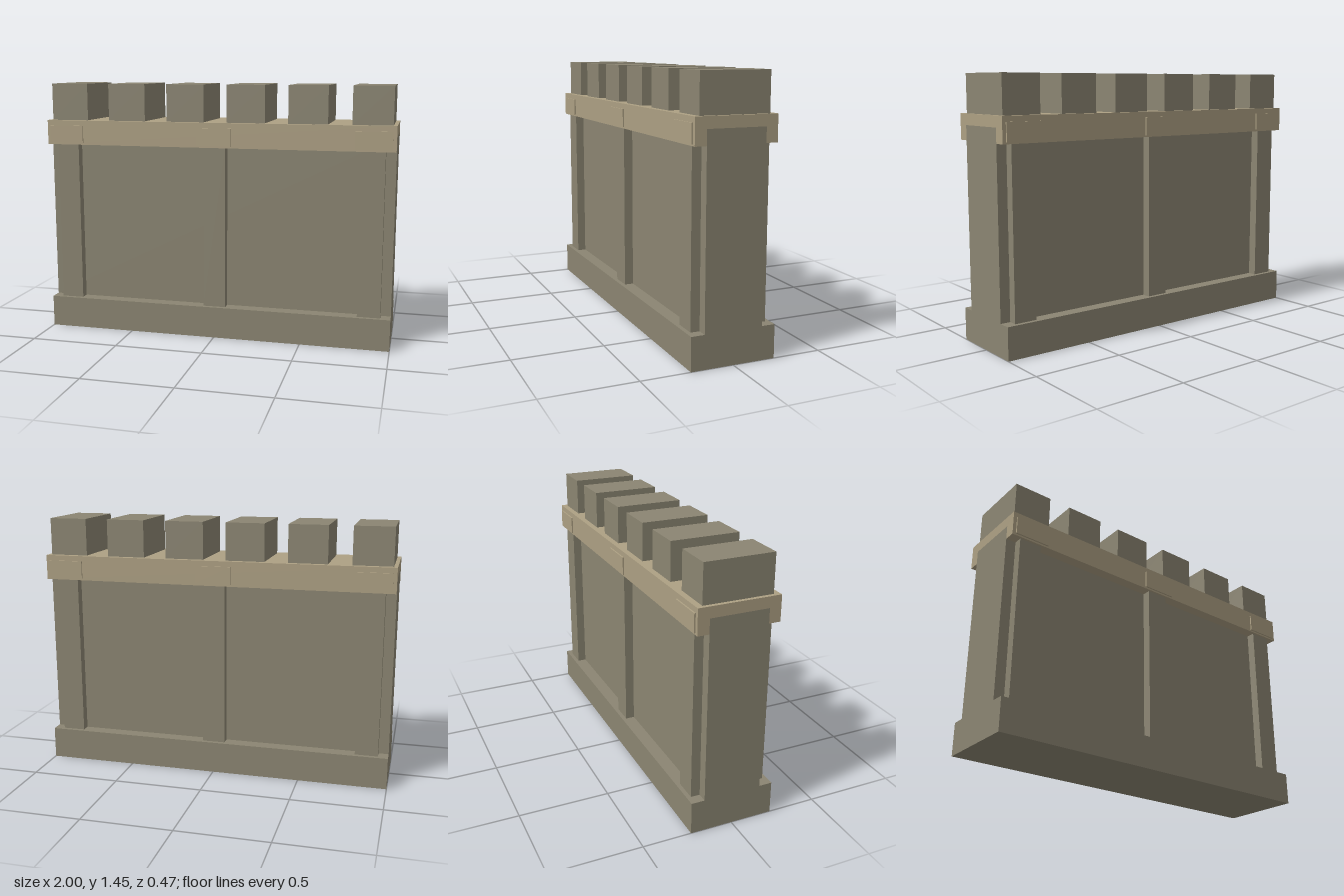
import * as THREE from 'three';

export function createModel() {
  const stone = new THREE.MeshStandardMaterial({ color: 0x8b8572 });
  stone.name = 'stone';
  const trim = new THREE.MeshStandardMaterial({ color: 0xada083 });
  trim.name = 'paleStone';

  const group = new THREE.Group();
  group.name = 'battlementWall';

  // Box given by its centre in x and z and its bottom and top heights
  const box = (name, material, width, depth, bottom, top, x = 0, z = 0) => {
    const mesh = new THREE.Mesh(new THREE.BoxGeometry(width, top - bottom, depth), material);
    mesh.position.set(x, (bottom + top) / 2, z);
    mesh.name = name;
    group.add(mesh);
  };

  // Plinth and wall core
  box('plinth', stone, 2, 0.466, 0, 0.18);
  box('wall', stone, 2, 0.32, 0.18, 1.18);

  // Coping: a channel that sits over the wall, leaving the wall ends visible
  const profile = new THREE.Shape([
    [-0.223, 1.1], [-0.16, 1.1], [-0.16, 1.18], [0.16, 1.18],
    [0.16, 1.1], [0.223, 1.1], [0.223, 1.24], [-0.223, 1.24],
  ].map(([x, y]) => new THREE.Vector2(x, y)));
  const copingGeometry = new THREE.ExtrudeGeometry(profile, { depth: 2, bevelEnabled: false });
  copingGeometry.translate(0, 0, -1).rotateY(Math.PI / 2);
  const coping = new THREE.Mesh(copingGeometry, trim);
  coping.name = 'coping';
  group.add(coping);

  // Pilasters and coping plates on both faces
  for (const side of [1, -1]) {
    for (const i of [-1, 0, 1]) {
      box('pilaster', stone, 0.128, 0.05, 0.18, 1.1, i * 0.88, side * 0.185);
      box('copingPlate', trim, 0.2, 0.009, 1.11, 1.21, i * 0.88, side * 0.2265);
    }
  }

  // Six merlons along the top
  for (let i = 0; i < 6; i++) {
    box('merlon', stone, 0.218, 0.38, 1.24, 1.45, -0.87 + i * 0.348);
  }

  return group;
}
